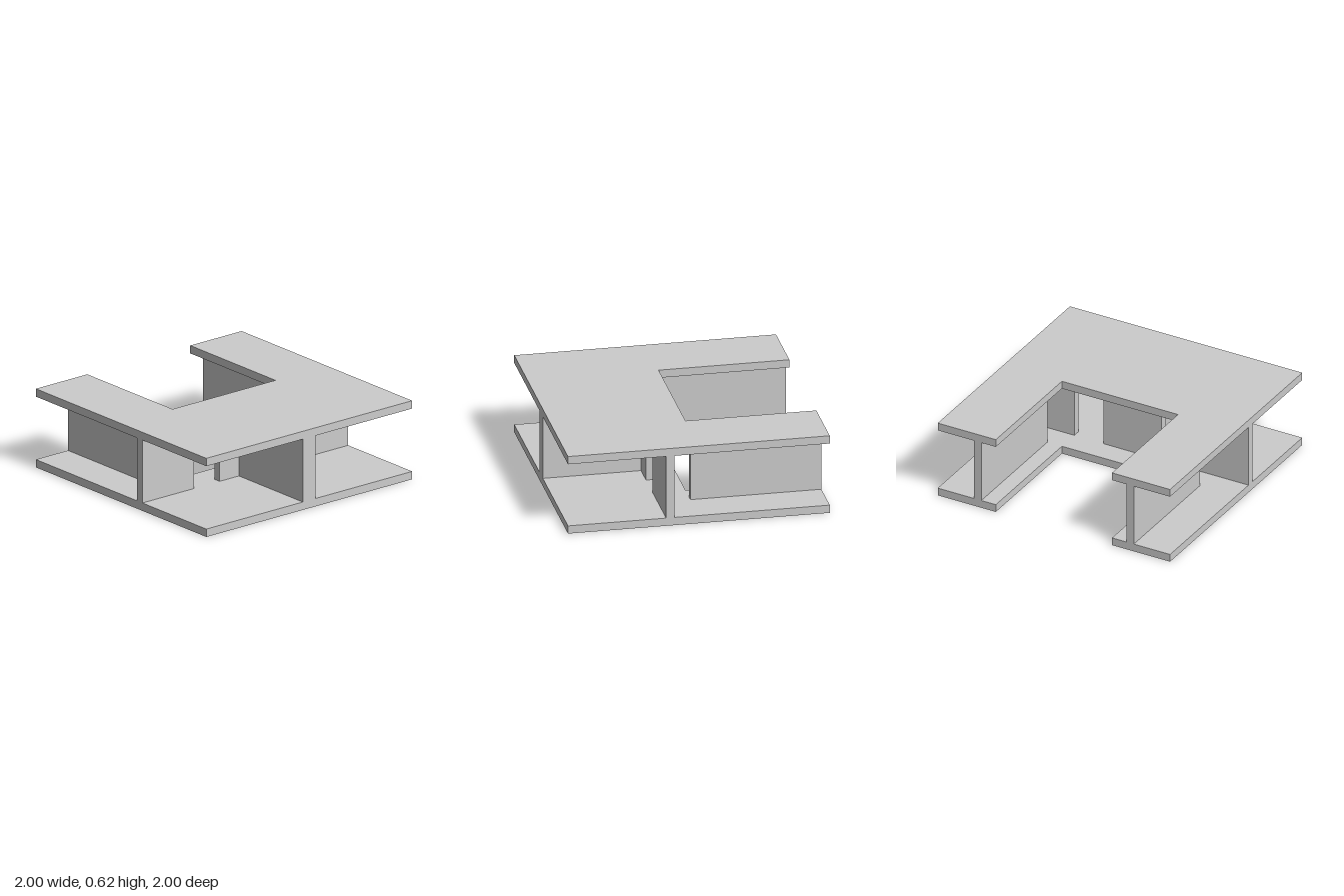
import * as THREE from 'three';

const T = 0.0625; // plate and web thickness
const HEIGHT = 0.625;

export function createModel() {
  const model = new THREE.Group();
  const material = new THREE.MeshStandardMaterial({ color: 0xcccccc, flatShading: true });

  const add = (name, geometry) => {
    const mesh = new THREE.Mesh(geometry, material);
    mesh.name = name;
    model.add(mesh);
  };

  // U-shaped flange plates, open toward the back
  const outline = new THREE.Shape(
    [[-1, -1], [-0.5, -1], [-0.5, 0], [0.5, 0], [0.5, -1], [1, -1], [1, 1], [-1, 1]]
      .map(([x, z]) => new THREE.Vector2(x, z))
  );
  const plate = (name, top) => {
    const geometry = new THREE.ExtrudeGeometry(outline, { depth: T, bevelEnabled: false });
    geometry.rotateX(Math.PI / 2).translate(0, top, 0);
    add(name, geometry);
  };
  plate('bottomPlate', T);
  plate('topPlate', HEIGHT);

  // Upright webs standing between the plates
  const web = (name, x0, x1, z0, z1) => {
    const geometry = new THREE.BoxGeometry(x1 - x0, HEIGHT - 2 * T, z1 - z0);
    geometry.translate((x0 + x1) / 2, HEIGHT / 2, (z0 + z1) / 2);
    add(name, geometry);
  };
  web('frontWeb', -T, T, 0.25, 1);
  web('centreCrossWeb', -0.25, 0.25, 0.1875, 0.25);

  // Mirrored side webs
  for (const [side, s] of [['left', 1], ['right', -1]]) {
    const pair = (part, a, b, z0, z1) =>
      web(side + part, Math.min(s * a, s * b), Math.max(s * a, s * b), z0, z1);
    pair('CrossWeb', 0.5, 1, 0.1875, 0.25);
    pair('ArmWeb', 0.625, 0.6875, -1, 0);
  }

  return model;
}
